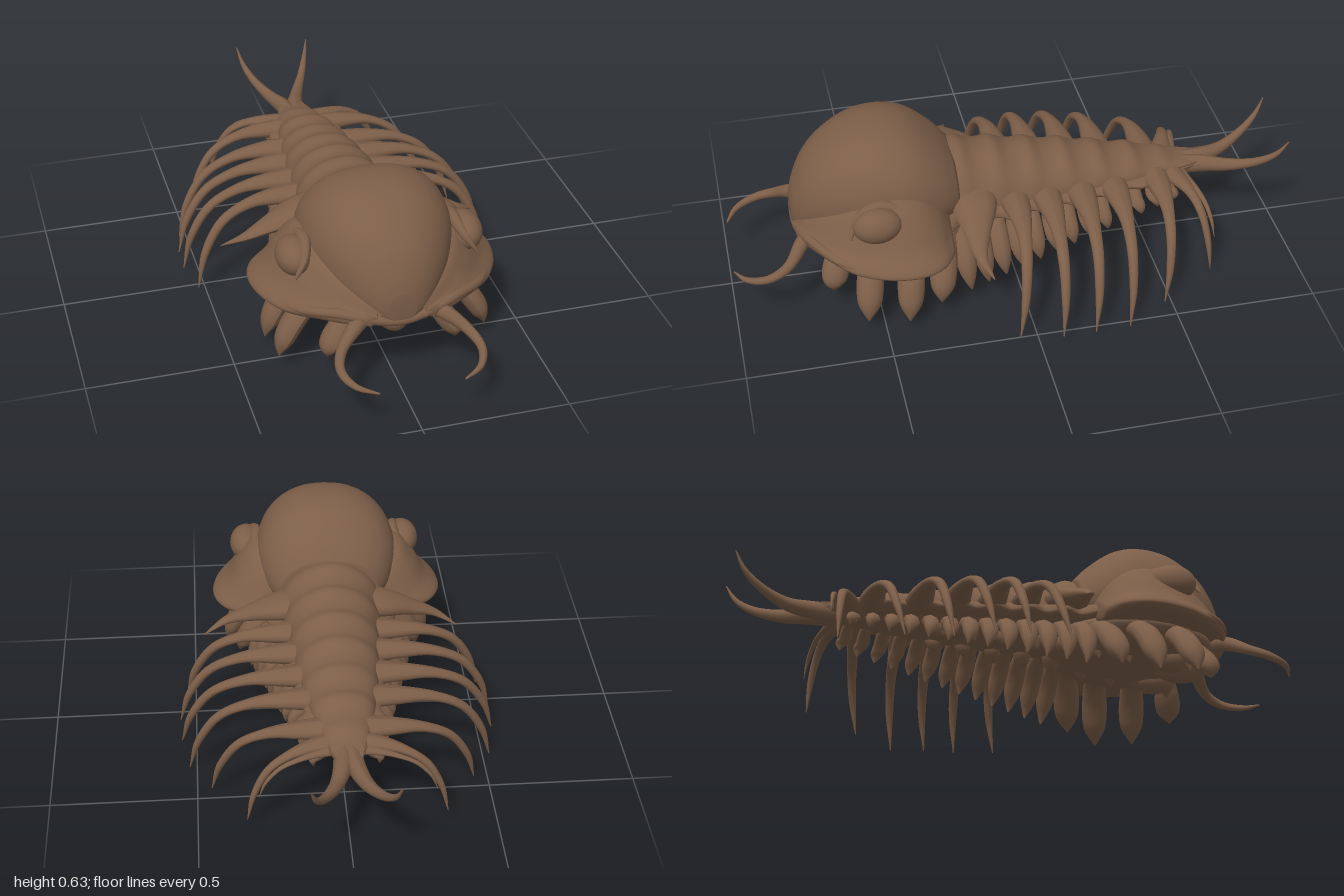
import * as THREE from 'three';

const brown = new THREE.MeshStandardMaterial({ color: 0x7c5e48 });
brown.name = 'chitin brown';

// Smooth values between rows of station numbers
function smoothRows(rows, steps) {
  const n = rows[0].length;
  const spline = new THREE.CubicInterpolant(rows.map((_, i) => i), rows.flat(), n, new Array(n));
  return Array.from({ length: steps + 1 }, (_, i) =>
    Array.from(spline.evaluate(i / steps * (rows.length - 1))));
}

// Skin closed rings (each running counter-clockwise seen from +z, rings ordered from +z to -z)
function loft(rings) {
  const centre = r => r.reduce((a, p) => a.add(p), new THREE.Vector3()).divideScalar(r.length);
  const n = rings[0].length;
  const all = [rings[0].map(() => centre(rings[0])), ...rings,
    rings[0].map(() => centre(rings[rings.length - 1]))];
  const pos = [], idx = [];
  all.forEach(r => r.forEach(p => pos.push(p.x, p.y, p.z)));
  for (let i = 0; i < all.length - 1; i++) {
    for (let j = 0; j < n; j++) {
      const a = i * n + j, b = i * n + (j + 1) % n;
      idx.push(a, a + n, b, b, a + n, b + n);
    }
  }
  const g = new THREE.BufferGeometry();
  g.setAttribute('position', new THREE.Float32BufferAttribute(pos, 3));
  g.setIndex(idx);
  g.computeVertexNormals();
  return g;
}

// Oval ring with separate top and bottom heights about a middle line
function oval(z, w, top, bottom, mid, power = 1, n = 48) {
  return Array.from({ length: n }, (_, j) => {
    const a = j / n * Math.PI * 2, s = Math.sin(a), c = Math.cos(a);
    return new THREE.Vector3(w * Math.sign(c) * Math.abs(c) ** power, mid + s * (s > 0 ? top - mid : mid - bottom), z);
  });
}

// Tube with changing radius, squashed by an axis scale
function limb(points, radii, squash = [1, 1, 1], steps = 22, sides = 12) {
  const curve = new THREE.CatmullRomCurve3(points.map(p => new THREE.Vector3(...p)));
  const g = new THREE.TubeGeometry(curve, steps, 1, sides);
  const p = g.attributes.position, v = new THREE.Vector3(), s = new THREE.Vector3(...squash);
  const r = smoothRows(radii.map(x => [x]), steps);
  for (let i = 0; i <= steps; i++) {
    const c = curve.getPointAt(i / steps);
    for (let j = 0; j <= sides; j++) {
      const k = i * (sides + 1) + j;
      v.fromBufferAttribute(p, k).sub(c).multiplyScalar(Math.max(r[i][0], 0.001)).multiply(s).add(c);
      p.setXYZ(k, v.x, v.y, v.z);
    }
  }
  g.computeVertexNormals();
  return g;
}

function ball(rx, ry, rz, x, y, z) {
  return new THREE.SphereGeometry(1, 28, 20).scale(rx, ry, rz).translate(x, y, z);
}

function mirrored(geometry) {
  const g = geometry.clone();
  g.scale(-1, 1, 1);
  const a = g.index.array;
  for (let i = 0; i < a.length; i += 3) [a[i], a[i + 1]] = [a[i + 1], a[i]];
  g.computeVertexNormals();
  return g;
}

export function createModel() {
  const model = new THREE.Group();
  model.name = 'armouredCrawler';
  const add = (name, g) => {
    const m = new THREE.Mesh(g, brown);
    m.name = name;
    model.add(m);
  };
  const pair = (name, g) => {
    add(name + 'Left', g);
    add(name + 'Right', mirrored(g));
  };

  // Head dome: z, half width, top, bottom
  const dome = [[0.772, 0.045, 0.37, 0.275], [0.755, 0.085, 0.43, 0.265], [0.715, 0.135, 0.51, 0.26],
    [0.65, 0.188, 0.575, 0.26], [0.55, 0.235, 0.627, 0.26], [0.45, 0.254, 0.642, 0.26],
    [0.35, 0.252, 0.62, 0.26], [0.26, 0.22, 0.555, 0.26], [0.2, 0.175, 0.49, 0.27]];
  add('headDome', loft(smoothRows(dome, 40).map(([z, w, t, b]) =>
    oval(z, w, t, b, b + (t - b) * 0.45, 0.85))));

  // Flared cheeks: z, outer reach, top height
  const cheek = [[0.765, 0.11, 0.31], [0.725, 0.2, 0.35], [0.65, 0.305, 0.4], [0.55, 0.38, 0.445],
    [0.45, 0.415, 0.475], [0.36, 0.415, 0.46], [0.29, 0.38, 0.41], [0.245, 0.31, 0.35]];
  pair('cheek', loft(smoothRows(cheek, 32).map(([z, X, h]) => {
    const k = X / 0.41;
    // the rim lifts on either side of the snout
    const lift = 0.02 * THREE.MathUtils.smoothstep(z, 0.58, 0.7);
    const section = [[0.08, 0.27], [X - 0.13 * k, 0.265 + lift], [X - 0.03 * k, 0.25 + lift], [X + 0.004, 0.272 + lift],
      [X - 0.05 * k, 0.295 + (h - 0.295) * 0.22 + lift * 0.5], [X - 0.095 * k, 0.285 + (h - 0.285) * 0.66],
      [X - 0.155 * k, h], [0.08, h]];
    return new THREE.CatmullRomCurve3(section.map(([x, y]) => new THREE.Vector3(x, y, z)), true)
      .getPoints(40).slice(0, -1);
  })));
  // Rolled front lip between the cheeks
  add('frontLip', limb([[-0.39, 0.272, 0.5], [-0.3, 0.29, 0.64], [-0.19, 0.305, 0.72], [-0.09, 0.285, 0.75], [0, 0.272, 0.757],
    [0.09, 0.285, 0.75], [0.19, 0.305, 0.72], [0.3, 0.29, 0.64], [0.39, 0.272, 0.5]],
  [0.005, 0.014, 0.016, 0.018, 0.018, 0.018, 0.016, 0.014, 0.005], [1, 1, 1], 48));

  // Eyes and low lids
  pair('eye', ball(0.06, 0.062, 0.085, 0.292, 0.415, 0.505));
  pair('eyelid', limb([[0.31, 0.38, 0.6], [0.275, 0.43, 0.575], [0.255, 0.465, 0.5], [0.27, 0.44, 0.41], [0.3, 0.39, 0.36]],
    [0.004, 0.017, 0.021, 0.017, 0.004]));

  // Segmented trunk: z, half width, top, bottom
  const trunk = [[0.26, 0.19, 0.5, 0.25], [0.12, 0.178, 0.478, 0.24], [0, 0.165, 0.458, 0.24],
    [-0.12, 0.153, 0.438, 0.24], [-0.24, 0.14, 0.415, 0.245], [-0.36, 0.122, 0.387, 0.25],
    [-0.48, 0.1, 0.362, 0.255], [-0.6, 0.07, 0.332, 0.262], [-0.68, 0.048, 0.312, 0.267],
    [-0.73, 0.028, 0.296, 0.275]];
  const segmentWave = z => Math.pow(0.5 + 0.5 * Math.cos((z - 0.05) / 0.125 * Math.PI * 2), 1.5)
    * THREE.MathUtils.smoothstep(z, -0.72, -0.45);
  add('trunk', loft(smoothRows(trunk, 110).map(([z, w, t, b]) =>
    oval(z, w * (1 + 0.02 * segmentWave(z)), t + 0.015 * segmentWave(z), b, 0.31))));

  // Flat scalloped skirt from which the side spines spring
  add('sideSkirt', loft(smoothRows(trunk, 110).map(([z, w]) => {
    const fade = THREE.MathUtils.smoothstep(z, -0.7, -0.45);
    const scallop = 0.12 + 0.1 * Math.cos((z + 0.11) / 0.122 * Math.PI * 2);
    return oval(z, w * (1 + scallop * fade) + 0.015 * fade, 0.375 + 0.1 * Math.min(z, 0), 0.265, 0.3);
  })));

  // Broad shoulder spines behind the head
  pair('shoulderSpine', limb([[0.08, 0.37, 0.15], [0.2, 0.35, 0.155], [0.3, 0.32, 0.165], [0.38, 0.29, 0.168], [0.46, 0.25, 0.14]],
    [0.085, 0.08, 0.05, 0.023, 0.002], [1, 0.5, 1]));

  // Side spines: root x, root z, tip x, tip y, tip z, thickness
  const spines = [[0.16, 0.01, 0.53, 0.04, 0.065, 1], [0.155, -0.11, 0.555, 0.035, -0.08, 1],
    [0.145, -0.235, 0.55, 0.03, -0.195, 1], [0.13, -0.36, 0.525, 0.01, -0.325, 0.95],
    [0.1, -0.52, 0.45, 0.03, -0.47, 0.9], [0.06, -0.59, 0.335, 0.05, -0.67, 0.75],
    [0.04, -0.62, 0.295, 0.16, -0.69, 0.5]];
  spines.forEach(([x, z, tx, ty, tz, s], i) => {
    // the rear spines sweep back evenly, the others hook forward near the tip
    const sweep = i > 4 ? [-0.2, 0.15, 0.5, 0.75, 0.92] : [0, -0.1, -0.02, 0.22, 0.57];
    const at = (k, m, d) => [x + (tx - x) * k, ty + (0.335 - i * 0.008 - ty) * m, z + (tz - z) * d];
    pair('sideSpine' + (i + 1), limb(
      [at(-0.2, 0.99, sweep[0]), at(0.15, 1, sweep[1]), at(0.45, 0.96, sweep[2]), at(0.72, 0.79, sweep[3]),
        at(0.91, 0.42, sweep[4]), at(1, 0, 1)],
      [0.062, 0.046, 0.026, 0.019, 0.014, 0.002].map(r => r * s), [1, 0.65, 1], 30));
  });

  // Forked tail
  pair('tailFork', limb([[0.01, 0.287, -0.62], [0.024, 0.285, -0.72], [0.053, 0.285, -0.81], [0.097, 0.315, -0.905], [0.125, 0.36, -0.965], [0.142, 0.42, -1]],
    [0.036, 0.032, 0.024, 0.017, 0.011, 0.002]));

  // Hooked feelers
  pair('feeler', limb([[0.09, 0.285, 0.7], [0.15, 0.27, 0.75], [0.215, 0.225, 0.81], [0.235, 0.2, 0.88], [0.205, 0.185, 0.95], [0.14, 0.175, 0.99]],
    [0.03, 0.026, 0.019, 0.015, 0.011, 0.003]));

  // Mouth plate with side lobes, and the underside of the head
  add('mouthPlate', ball(0.062, 0.075, 0.12, 0, 0.245, 0.62));
  pair('mouthLobe', ball(0.05, 0.055, 0.07, 0.1, 0.215, 0.56));
  add('headFloor', ball(0.28, 0.075, 0.31, 0, 0.265, 0.43));

  // Paddle legs under the head: z, tip x, tip y
  [[0.64, 0.22, 0.1], [0.54, 0.36, 0.06], [0.4, 0.375, 0.045], [0.28, 0.33, 0.07]].forEach(([z, x, y], i) => {
    pair('headPaddle' + (i + 1), limb([[0.08, 0.25, z - 0.02], [x * 0.6, 0.25, z - 0.02], [x * 0.82, 0.19, z], [x * 0.97, y + 0.04, z + 0.015], [x, y, z + 0.02]],
      [0.025, 0.032, 0.037, 0.041, 0.046, 0.047, 0.038, 0.002], [0.8, 0.8, 1], 28));
  });

  // Trunk legs shrinking to the rear, with short inner lobes
  for (let i = 0; i < 13; i++) {
    const k = i / 12, z = 0.2 - 0.78 * k, x = 0.29 - 0.18 * k, y = 0.075 + 0.13 * k;
    pair('trunkLeg' + (i + 1), limb([[0.02, 0.275, z], [x * 0.55, 0.26, z], [x * 0.85, 0.2 + 0.04 * k, z], [x, y + 0.03, z - 0.01], [x, y, z - 0.015]],
      [0.02, 0.027, 0.033, 0.036, 0.031, 0.003].map(r => r * (1 - 0.35 * k)), [0.8, 0.8, 1], 16, 8));
  }
  for (let i = 0; i < 9; i++) {
    const z = 0.6 - i * 0.11, k = i / 8;
    pair('innerLobe' + (i + 1), limb([[0.06, 0.27, z], [0.11 - 0.05 * k, 0.22 + 0.02 * k, z + 0.01], [0.13 - 0.06 * k, 0.16 + 0.06 * k, z + 0.02]],
      [0.035, 0.038, 0.03, 0.002].map(r => r * (1 - 0.3 * k)), [1, 1, 1], 12, 8));
  }
  return model;
}
